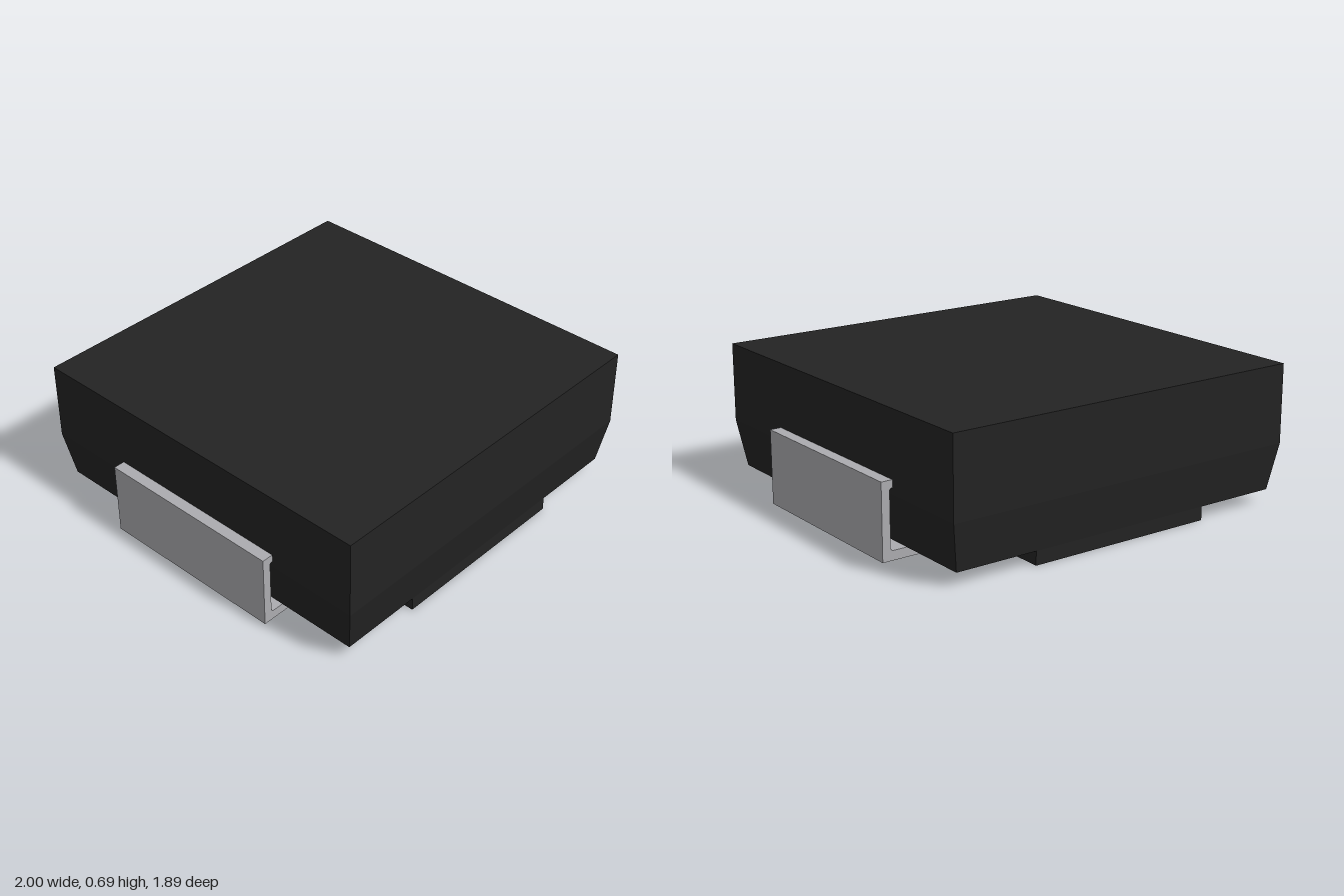
import * as THREE from 'three';

export function createModel() {
  const model = new THREE.Group();
  model.name = 'surfaceMountComponent';

  const blackPlastic = new THREE.MeshStandardMaterial({ color: 0x232323 });
  blackPlastic.name = 'blackPlastic';
  blackPlastic.flatShading = true;
  const greyMetal = new THREE.MeshStandardMaterial({ color: 0xacacb0 });
  greyMetal.name = 'greyMetal';

  const add = (name, geometry, material) => {
    const mesh = new THREE.Mesh(geometry, material);
    mesh.name = name;
    model.add(mesh);
    return mesh;
  };

  // Moulded body: straight upper walls, tapering inward below the parting line
  const half = 0.943, foot = 0.905;
  const bottom = 0.067, parting = 0.3, top = 0.69;
  const body = new THREE.BoxGeometry(2, 2, 2, 1, 2, 1);
  const pos = body.attributes.position;
  for (let i = 0; i < pos.count; i++) {
    const level = Math.round(pos.getY(i));
    const width = level < 0 ? foot : half;
    pos.setXYZ(i, pos.getX(i) * width, [bottom, parting, top][level + 1], pos.getZ(i) * width);
  }
  body.computeVertexNormals();
  add('body', body, blackPlastic);

  // Raised pad running front to back under the body
  const pad = new THREE.BoxGeometry(0.97, bottom + 0.01, foot * 2);
  pad.translate(0, (bottom + 0.01) / 2, 0);
  // keep the overlapping top just inside the tapered walls
  for (let i = 0, p = pad.attributes.position; i < p.count; i++) {
    if (p.getY(i) > bottom) p.setY(i, bottom);
  }
  add('standoffPad', pad, blackPlastic);

  // Bent metal terminal: foot plate, upright and short hook into the body
  const outline = new THREE.Shape();
  outline.moveTo(0.542, 0);
  outline.lineTo(1, 0);
  outline.lineTo(1, 0.37);
  outline.lineTo(0.93, 0.37);
  outline.lineTo(0.93, 0.333);
  outline.lineTo(0.945, 0.333);
  outline.quadraticCurveTo(0.958, 0.333, 0.958, 0.318);
  outline.lineTo(0.958, 0.062);
  outline.quadraticCurveTo(0.958, 0.046, 0.942, 0.046);
  outline.lineTo(0.542, 0.046);
  outline.closePath();
  const terminal = new THREE.ExtrudeGeometry(outline, { depth: 0.97, bevelEnabled: false, curveSegments: 6 });
  terminal.translate(0, 0, -0.485);
  add('leftTerminal', terminal, greyMetal);
  add('rightTerminal', terminal, greyMetal).rotation.y = Math.PI;

  return model;
}
